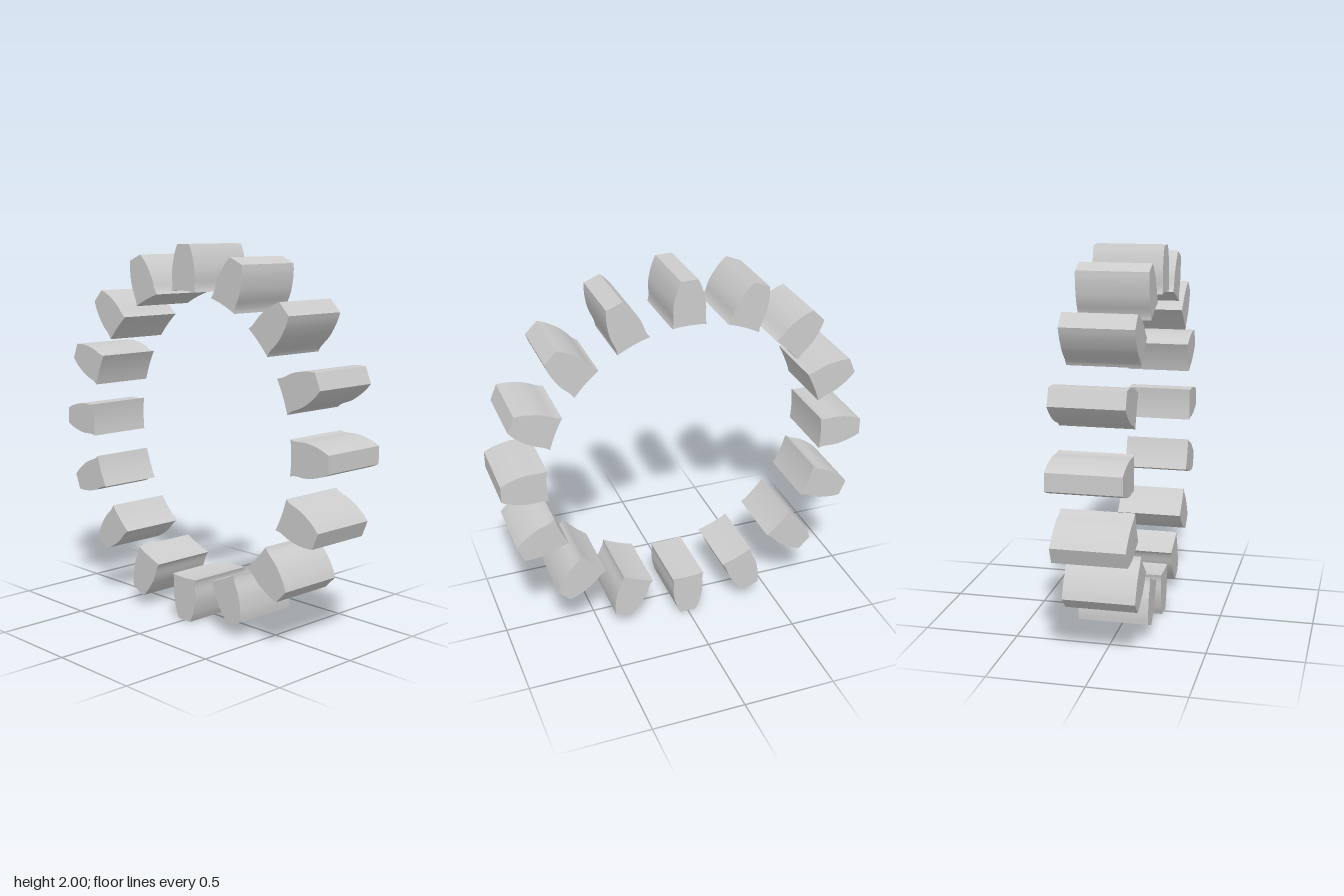
import * as THREE from 'three';
import { toCreasedNormals } from 'three/addons/utils/BufferGeometryUtils.js';

const TEETH = 16;
const WIDTH = 0.37;
const ROOT_RADIUS = 0.764;

// Tooth cross-section: bulging flanks, flat tip, root following the inner circle
function toothGeometry() {
  const flank = new THREE.CatmullRomCurve3([
    [0.091, 0.7586], [0.086, 0.775], [0.084, 0.8], [0.086, 0.84],
    [0.084, 0.875], [0.075, 0.92], [0.062, 0.963], [0.045, 1],
  ].map(([x, y]) => new THREE.Vector3(x, y, 0))).getPoints(20);

  const right = flank.map((p) => new THREE.Vector2(p.x, p.y));
  const left = right.map((p) => new THREE.Vector2(-p.x, p.y)).reverse();
  const halfAngle = Math.asin(0.091 / ROOT_RADIUS);
  const root = [];
  for (let i = 1; i < 8; i++) {
    const a = halfAngle * (i / 4 - 1);
    root.push(new THREE.Vector2(Math.sin(a) * ROOT_RADIUS, Math.cos(a) * ROOT_RADIUS));
  }

  const shape = new THREE.Shape([...right, ...left, ...root]);
  const geometry = new THREE.ExtrudeGeometry(shape, { depth: WIDTH, bevelEnabled: false });
  geometry.translate(0, 0, -WIDTH / 2).rotateY(Math.PI / 2);
  return toCreasedNormals(geometry, 0.4);
}

export function createModel() {
  const model = new THREE.Group();
  model.name = 'gearToothRing';
  const material = new THREE.MeshStandardMaterial({ color: 0xcccccc });
  const geometry = toothGeometry();

  // Teeth evenly spaced around the x axis
  for (let i = 0; i < TEETH; i++) {
    const tooth = new THREE.Mesh(geometry, material);
    tooth.name = `tooth${i + 1}`;
    tooth.position.y = 1;
    tooth.rotation.x = (i / TEETH) * Math.PI * 2;
    model.add(tooth);
  }
  return model;
}
